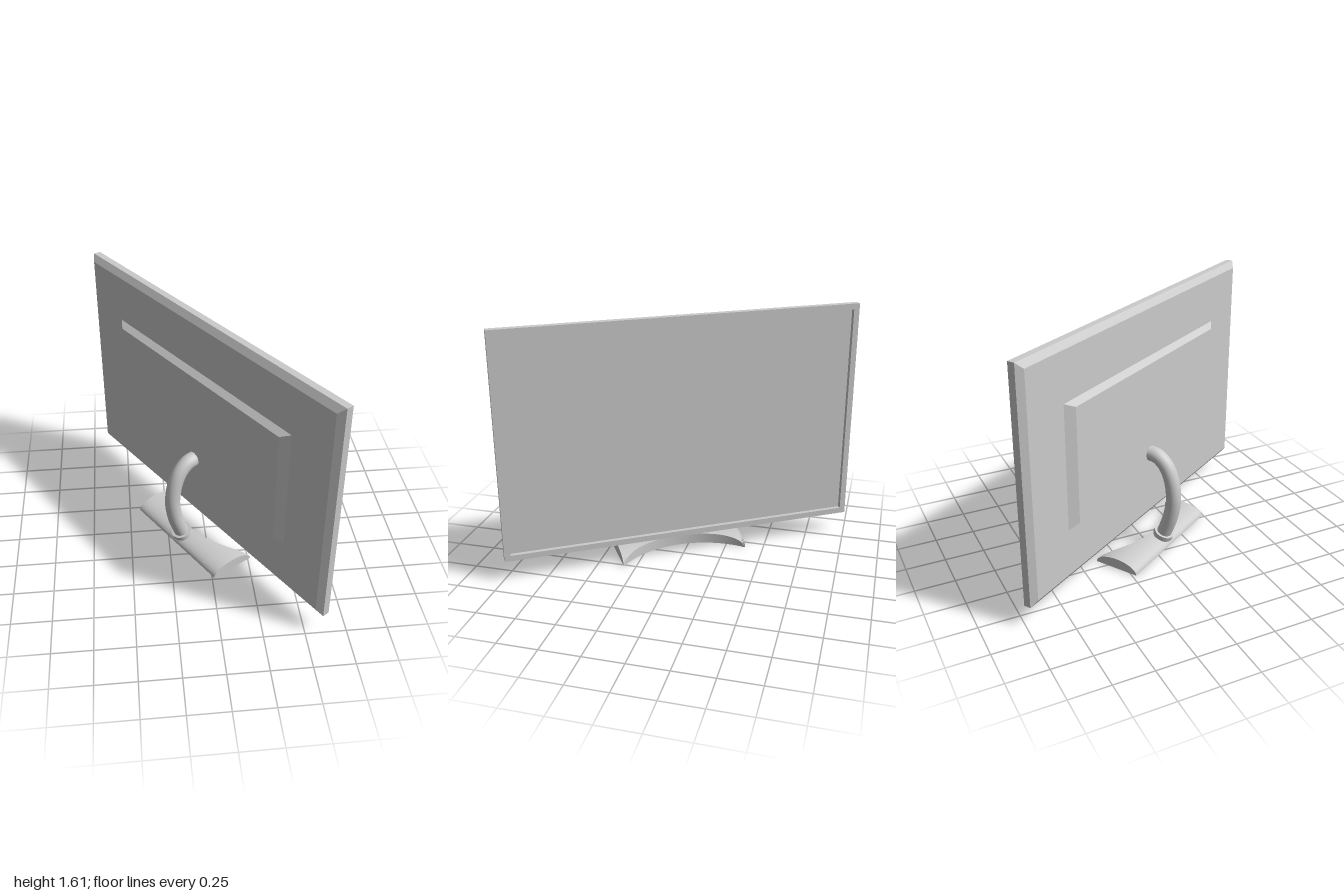
import * as THREE from 'three';
import { toCreasedNormals } from 'three/addons/utils/BufferGeometryUtils.js';

const grey = new THREE.MeshStandardMaterial({ color: 0xcccccc });

function part(name, geometry, parent) {
  const mesh = new THREE.Mesh(geometry, grey);
  mesh.name = name;
  parent.add(mesh);
  return mesh;
}

// Rectangular slab whose rear face is inset by a bevel
function bevelledSlab(w, h, zBack, zFront, inset) {
  const g = new THREE.BoxGeometry(w, h, zFront - zBack);
  const p = g.attributes.position;
  for (let i = 0; i < p.count; i++) {
    if (p.getZ(i) < 0) {
      p.setX(i, p.getX(i) - Math.sign(p.getX(i)) * inset);
      p.setY(i, p.getY(i) - Math.sign(p.getY(i)) * inset);
    }
  }
  g.translate(0, 0, (zBack + zFront) / 2);
  return toCreasedNormals(g, 0.3);
}

function rectangle(Type, w, h) {
  return new Type([[-1, -1], [1, -1], [1, 1], [-1, 1]].map(
    ([x, y]) => new THREE.Vector2(x * w / 2, y * h / 2)));
}

// Half-elliptical foot with a circular bite out of its front side
function footGeometry() {
  const halfW = 0.42, mid = -0.097, halfD = 0.149, top = 0.068;
  const biteR = 0.591, biteZ = -0.123, nx = 48, na = 20;
  const rows = [];
  for (let i = 0; i <= nx; i++) {
    const x = -halfW + 2 * halfW * i / nx;
    const zCut = biteZ + biteR - Math.sqrt(biteR * biteR - x * x);
    const end = Math.acos(Math.min(1, (zCut - mid) / halfD));
    const row = [];
    for (let j = 0; j <= na; j++) {
      const a = Math.PI + (end - Math.PI) * j / na;
      row.push([x, top * Math.sin(a), mid + halfD * Math.cos(a)]);
    }
    row.push([x, 0, row[na][2]]);
    rows.push(row);
  }
  const pos = [];
  const tri = (a, b, c) => pos.push(...a, ...b, ...c);
  const n = na + 2;
  for (let i = 0; i < nx; i++) {
    for (let j = 0; j < n; j++) {
      const k = (j + 1) % n;
      tri(rows[i][j], rows[i][k], rows[i + 1][k]);
      tri(rows[i][j], rows[i + 1][k], rows[i + 1][j]);
    }
  }
  // Flat ends
  const first = rows[0], last = rows[nx];
  for (let j = 1; j < n - 1; j++) {
    tri(first[0], first[j + 1], first[j]);
    tri(last[0], last[j], last[j + 1]);
  }
  const g = new THREE.BufferGeometry();
  g.setAttribute('position', new THREE.Float32BufferAttribute(pos, 3));
  return toCreasedNormals(g, 0.6);
}

export function createModel() {
  const model = new THREE.Group();
  model.name = 'monitor';

  // Display panel
  const display = new THREE.Group();
  display.name = 'display';
  display.position.y = 0.8725;
  model.add(display);
  const W = 2.33, H = 1.465, rim = 0.038;

  const frame = rectangle(THREE.Shape, W, H);
  frame.holes.push(rectangle(THREE.Path, W - 2 * rim, H - 2 * rim));
  const bezel = new THREE.ExtrudeGeometry(frame, { depth: 0.044, bevelEnabled: false });
  part('bezel', bezel.translate(0, 0, -0.022), display);
  part('backShell', bevelledSlab(W, H, -0.05, -0.022, 0.039), display);
  const screen = new THREE.BoxGeometry(W - 2 * rim, H - 2 * rim, 0.018);
  part('screen', screen.translate(0, 0, -0.013), display);
  part('rearHousing', bevelledSlab(1.65, 0.785, -0.086, -0.05, 0.03), display);
  // Housing ends slope more gently than its top and bottom
  const p = display.getObjectByName('rearHousing').geometry.attributes.position;
  for (let i = 0; i < p.count; i++) {
    if (p.getZ(i) < -0.07) p.setX(i, Math.sign(p.getX(i)) * 0.765);
  }
  p.needsUpdate = true;
  display.getObjectByName('rearHousing').geometry.computeVertexNormals();

  // Stand
  const stand = new THREE.Group();
  stand.name = 'stand';
  model.add(stand);
  part('foot', footGeometry(), stand);

  const path = new THREE.CatmullRomCurve3([
    [0.04, -0.178], [0.12, -0.21], [0.22, -0.242], [0.35, -0.26], [0.48, -0.242],
    [0.57, -0.2], [0.62, -0.14], [0.63, -0.08],
  ].map(([y, z]) => new THREE.Vector3(0, y, z)));
  part('arm', new THREE.TubeGeometry(path, 48, 0.049, 32), stand);

  // Collar tilted to follow the arm
  const collar = part('collar', new THREE.CylinderGeometry(0.066, 0.066, 0.034, 40), stand);
  collar.position.set(0, 0.069, -0.19);
  collar.rotation.x = -0.36;

  // Turn the whole monitor on its vertical axis
  model.rotation.y = 2.129;
  return model;
}
